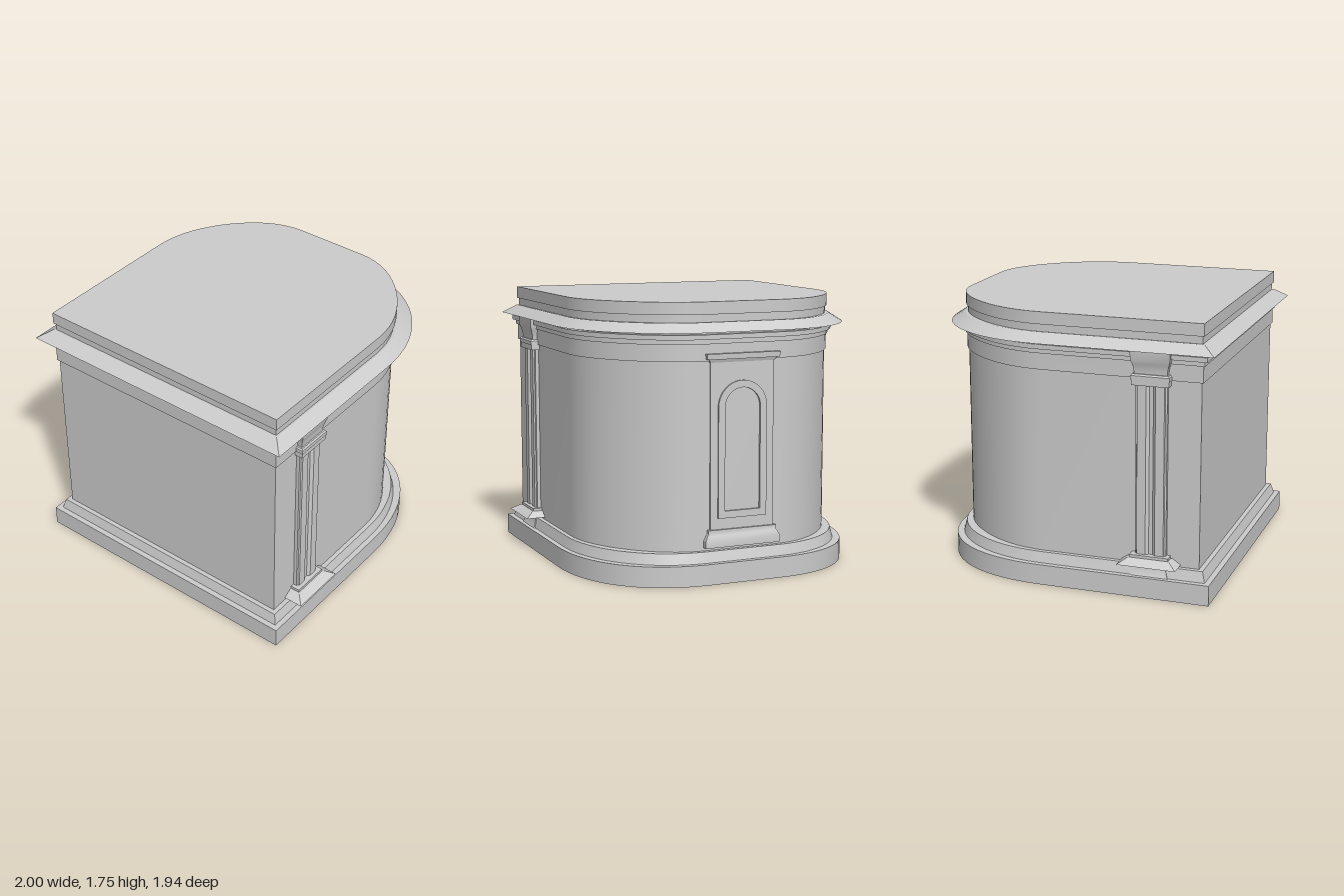
import * as THREE from 'three';
import { toCreasedNormals } from 'three/addons/utils/BufferGeometryUtils.js';

const material = new THREE.MeshStandardMaterial({ color: 0xcccccc, side: THREE.DoubleSide });

// Skin a stack of equal-length outlines ([x, z] points) at given heights
function loft(rings, capTop, capBottom) {
  const pos = [];
  const n = rings[0].pts.length;
  const put = (r, i) => pos.push(r.pts[i % n][0], r.y, r.pts[i % n][1]);
  for (let k = 0; k < rings.length - 1; k++) {
    const a = rings[k], b = rings[k + 1];
    for (let i = 0; i < n; i++) {
      put(a, i); put(a, i + 1); put(b, i + 1);
      put(a, i); put(b, i + 1); put(b, i);
    }
  }
  const first = rings[0], last = rings[rings.length - 1];
  for (let i = 0; i < n; i++) {
    if (capTop) { put(last, i); put(last, i + 1); pos.push(0, last.y, 0); }
    if (capBottom) { put(first, i + 1); put(first, i); pos.push(0, first.y, 0); }
  }
  const geo = new THREE.BufferGeometry();
  geo.setAttribute('position', new THREE.Float32BufferAttribute(pos, 3));
  return toCreasedNormals(geo, 0.4);
}

function mesh(name, geo) {
  const m = new THREE.Mesh(geo, material);
  m.name = name;
  return m;
}

// Square front corners and a rounded back: h = half width, bulge = fullness of the rear corners
function footprint(h, bulge) {
  const d = h - 0.88, pts = [[-h, h], [h, h]], steps = 16;
  for (const side of [1, -1]) {
    for (let i = 0; i <= steps; i++) {
      const t = (side > 0 ? i : steps - i) / steps * Math.PI / 2;
      const f = 1 + bulge * Math.sin(2 * t) ** 2;
      pts.push([side * (0.25 + (0.63 + d) * f * Math.cos(t)), -0.15 - (0.73 + d) * f * Math.sin(t)]);
    }
  }
  return pts;
}
// Profile rows: [y, half width, bulge]
const band = (name, profile, cap) =>
  mesh(name, loft(profile.map(([y, h, bulge = -0.035]) => ({ y, pts: footprint(h, bulge) })), cap));

// Stack of rectangles: [y, half width, half depth]
const rect = (x, z) => [[-x, z], [x, z], [x, -z], [-x, -z]];
const block = (name, profile) =>
  mesh(name, loft(profile.map(([y, x, z = x]) => ({ y, pts: rect(x, z) })), true, true));

function pilaster() {
  const g = new THREE.Group();
  g.add(block('pilasterBase', [
    [0.03, 0.122], [0.13, 0.122], [0.15, 0.113], [0.18, 0.105], [0.2, 0.103], [0.2, 0.124],
    [0.215, 0.124], [0.215, 0.19], [0.25, 0.135], [0.25, 0.125], [0.268, 0.125]]));

  // Shaft with two raised strips on each of its four sides
  const side = [[-0.092, 0.086], [-0.086, 0.1], [-0.03, 0.1], [-0.012, 0.084],
    [0.012, 0.084], [0.03, 0.1], [0.086, 0.1], [0.092, 0.086]];
  const section = [];
  for (let k = 0; k < 4; k++) {
    const c = Math.round(Math.cos(k * Math.PI / 2)), s = Math.round(Math.sin(k * Math.PI / 2));
    for (const [u, v] of side) section.push([u * c + v * s, v * c - u * s]);
  }
  g.add(mesh('pilasterShaft', loft([{ y: 0.26, pts: section }, { y: 1.36, pts: section }])));

  g.add(block('pilasterCapital', [
    [1.35, 0.118], [1.385, 0.118], [1.385, 0.123], [1.41, 0.123], [1.42, 0.115],
    [1.42, 0.105], [1.45, 0.107], [1.48, 0.115], [1.505, 0.124], [1.57, 0.127]]));
  return g;
}

// Round-headed panel outline
function arch(path, w, bottom, top) {
  path.moveTo(-w, bottom);
  path.lineTo(w, bottom);
  path.lineTo(w, top - w);
  path.absarc(0, top - w, w, 0, Math.PI, false);
  path.lineTo(-w, bottom);
  return path;
}

function backDoor() {
  const g = new THREE.Group();
  g.name = 'backDoor';
  const slab = new THREE.Shape([[-0.215, 0.25], [0.215, 0.25], [0.215, 1.41], [-0.215, 1.41]]
    .map(([x, y]) => new THREE.Vector2(x, y)));
  slab.holes.push(arch(new THREE.Path(), 0.155, 0.41, 1.25));
  const extrude = (shape, depth) =>
    new THREE.ExtrudeGeometry(shape, { depth, bevelEnabled: false, curveSegments: 16 });
  g.add(mesh('doorSlab', extrude(slab, 0.012)));

  const ring = arch(new THREE.Shape(), 0.165, 0.4, 1.26);
  ring.holes.push(arch(new THREE.Path(), 0.12, 0.445, 1.215));
  g.add(mesh('archMoulding', extrude(ring, 0.023)));
  g.add(mesh('archPanel', extrude(arch(new THREE.Shape(), 0.125, 0.44, 1.22), 0.008)));

  g.add(block('doorCap', [
    [1.375, 0.22, 0.018], [1.395, 0.23, 0.025], [1.395, 0.245, 0.036], [1.43, 0.25, 0.038]]));
  g.add(block('doorFoot', [
    [0.22, 0.255, 0.038], [0.265, 0.255, 0.038], [0.295, 0.24, 0.028],
    [0.31, 0.23, 0.023], [0.31, 0.233, 0.026], [0.33, 0.233, 0.026]]));
  g.rotation.y = Math.PI;
  g.position.z = -0.872;
  return g;
}

export function createModel() {
  const model = new THREE.Group();
  model.name = 'pedestal';

  // Hollow shell, open underneath
  model.add(band('base', [[0, 0.958, 0.03], [0.132, 0.958, 0.03], [0.132, 0.922, 0.01],
    [0.2, 0.903, 0.01], [0.2, 0.873]]));
  model.add(band('wall', [[0.2, 0.873], [1.385, 0.873]]));
  model.add(band('frieze', [[1.385, 0.873], [1.385, 0.884], [1.49, 0.884], [1.49, 0.894],
    [1.52, 0.894], [1.52, 0.914], [1.55, 0.914], [1.55, 0.875], [1.567, 0.875]]));
  model.add(band('cornice', [[1.567, 0.875], [1.567, 0.97, 0], [1.622, 0.888, -0.015], [1.622, 0.875]]));
  model.add(band('topSlab', [[1.622, 0.875], [1.67, 0.875], [1.67, 0.886], [1.748, 0.886]], true));

  for (const side of [-1, 1]) {
    const p = pilaster();
    p.name = side > 0 ? 'leftPilaster' : 'rightPilaster';
    p.position.set(side * 0.81, 0, 0.565);
    model.add(p);
  }
  model.add(backDoor());
  return model;
}
